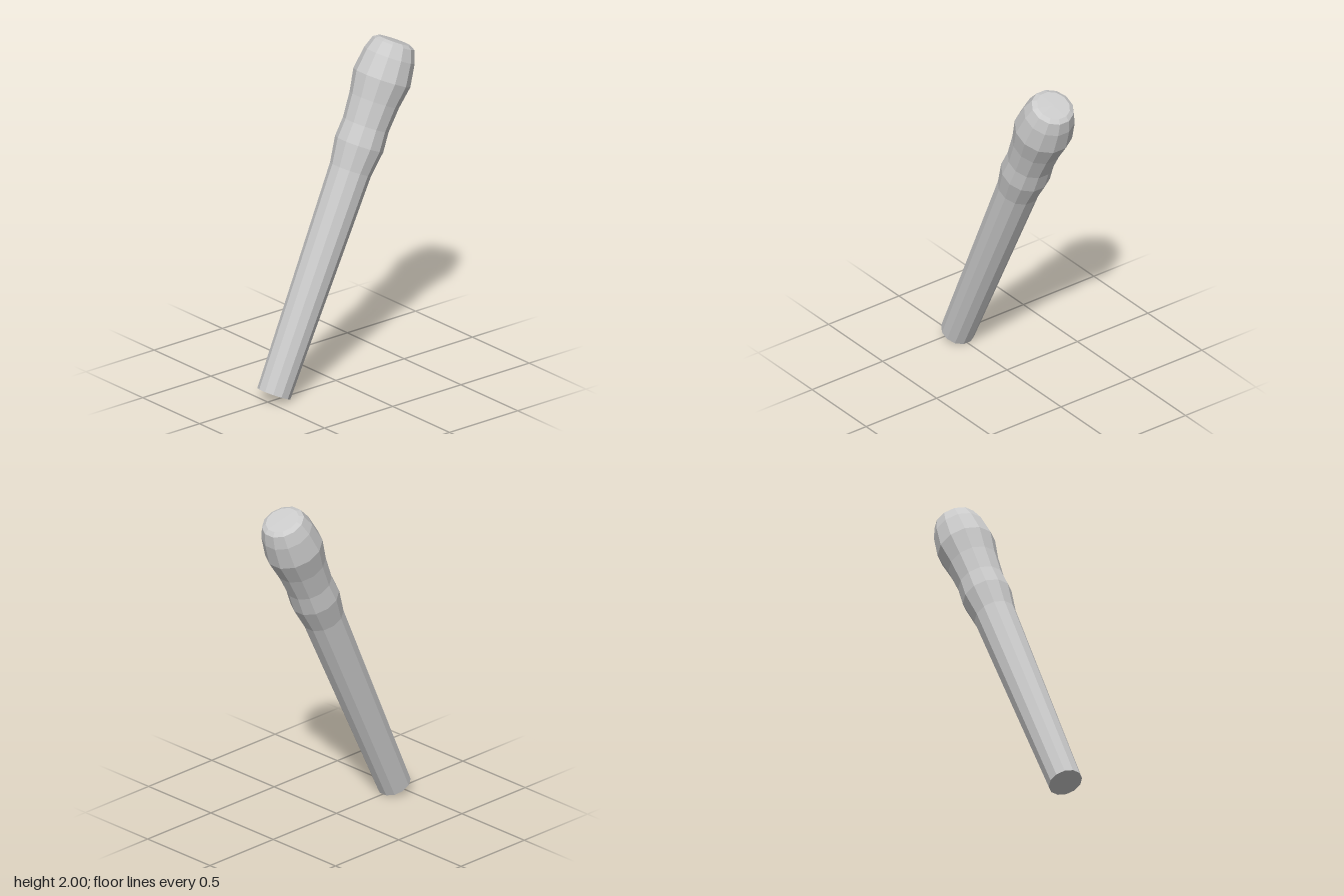
import * as THREE from 'three';

const SIDES = 12;
const TILT = THREE.MathUtils.degToRad(24.75);

// [distance across flats / 2, height along the handle axis]
const PROFILE = [
  [0, 0], [0.095, 0],                                  // closed foot
  [0.118, 1.343],                                      // tapered shaft
  [0.139, 1.494], [0.131, 1.609],                      // collar and neck
  [0.142, 1.758], [0.164, 1.891],                      // swelling head
  [0.145, 2.024], [0.12, 2.097], [0.094, 2.113], [0, 2.116], // rounded crown
];

export function createModel() {
  const group = new THREE.Group();
  group.name = 'handle';

  // Faceted turned body, with a flat side facing front, back, left and right
  const toCorner = 1 / Math.cos(Math.PI / SIDES);
  const points = PROFILE.map(([r, h]) => new THREE.Vector2(r * toCorner, h));
  const geometry = new THREE.LatheGeometry(points, SIDES, Math.PI / SIDES);
  const material = new THREE.MeshStandardMaterial({ color: 0xcccccc, flatShading: true });

  const body = new THREE.Mesh(geometry, material);
  body.name = 'handleBody';
  body.rotation.x = -TILT; // leans backward
  body.position.set(0, 0.041, 0.455);
  group.add(body);

  return group;
}
